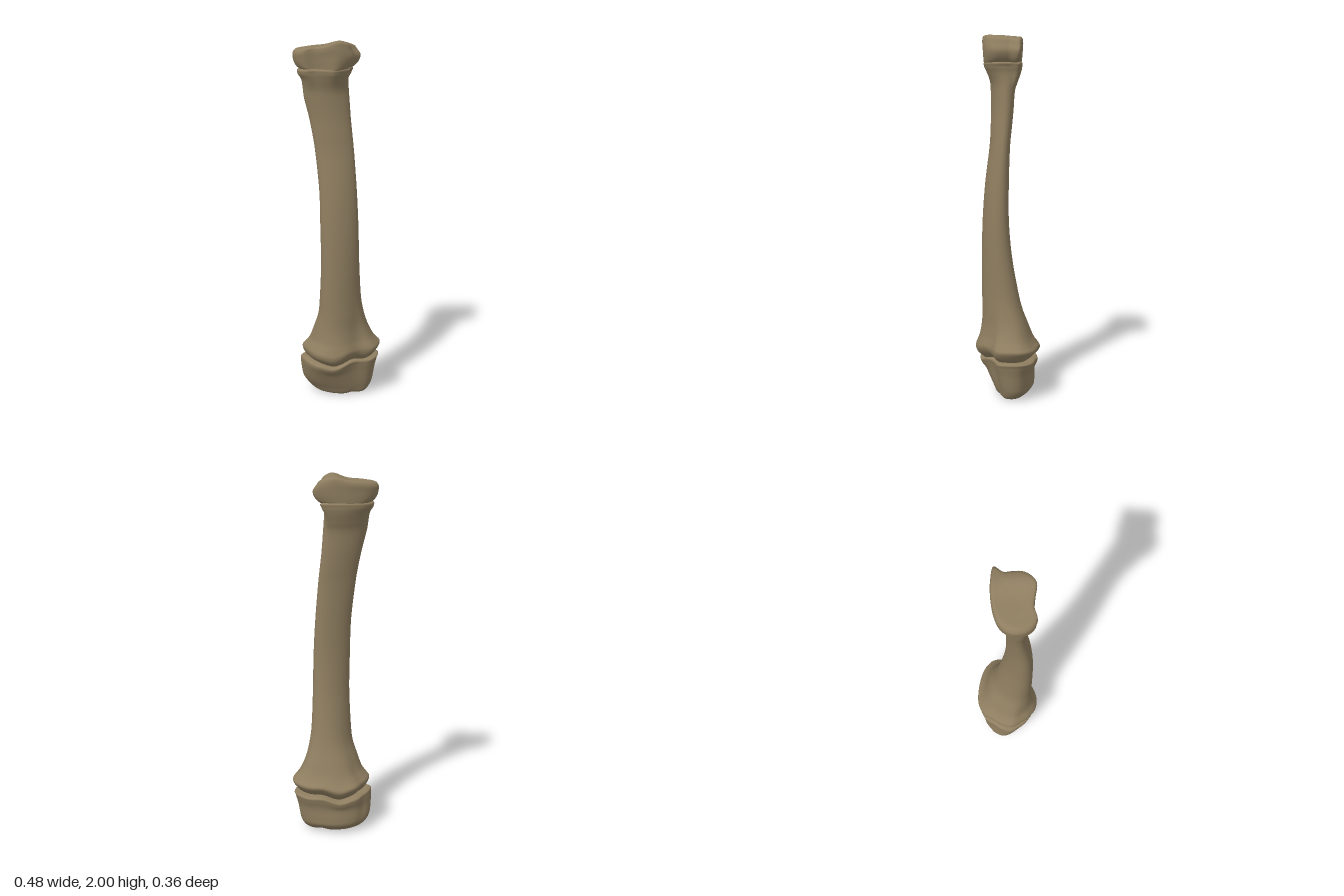
import * as THREE from 'three';

const SEG = 72;      // points around each section
const STEPS = 5;     // smoothing steps between section rows

// Outlines as [x, z], running from +x round through +z
const headOutline = [
  [.085, .03], [.08, .08], [.045, .12], [0, .14], [-.06, .128], [-.12, .119], [-.18, .128], [-.22, .10],
  [-.24, .04], [-.225, -.02], [-.18, -.06], [-.11, -.078], [-.04, -.083], [.05, -.075], [.118, -.055], [.085, -.01],
];
const baseOutline = [
  [.235, -.01], [.2, .07], [.12, .1], [.04, .16], [-.03, .18], [-.1, .165], [-.15, .12], [-.18, .07],
  [-.205, .01], [-.18, -.06], [-.15, -.1], [-.11, -.155], [-.03, -.185], [.08, -.17], [.18, -.13], [.23, -.075],
];

// Fit a ring of points to the square -1..1
function normalise(ring) {
  const box = new THREE.Box2().setFromPoints(ring);
  const c = box.getCenter(new THREE.Vector2());
  const s = box.getSize(new THREE.Vector2()).multiplyScalar(0.5);
  return ring.map((p) => p.clone().sub(c).divide(s));
}

function ringFrom(points) {
  const curve = new THREE.CatmullRomCurve3(points.map(([x, z]) => new THREE.Vector3(x, 0, z)), true);
  return normalise(Array.from({ length: SEG }, (_, i) => {
    const p = curve.getPoint(i / SEG);
    return new THREE.Vector2(p.x, p.z);
  }));
}

// Ellipse leaning towards one diagonal
const ellipseRing = (skew) => normalise(Array.from({ length: SEG }, (_, i) => {
  const a = (i / SEG) * Math.PI * 2;
  return new THREE.Vector2(Math.cos(a), Math.sin(a + skew));
}));

const headRing = ringFrom(headOutline);
const baseRing = ringFrom(baseOutline);
const shaftRing = ellipseRing(-0.3);
const footRing = ellipseRing(0.25);

// Rows, bottom to top: [y, xMin, xMax, zMin, zMax, blend]
// blend: -1 head outline, 0 the given ellipse, 1 base outline
function loft(rows, ellipse, warp) {
  const spline = new THREE.CubicInterpolant(rows.map((_, i) => i), rows.flat(), 6, new Float32Array(6));
  const count = (rows.length - 1) * STEPS;
  const positions = [];
  const index = [];
  for (let r = 0; r <= count; r++) {
    const [y, x0, x1, z0, z1, blend] = spline.evaluate(r / STEPS);
    const target = blend < 0 ? headRing : baseRing;
    const w = Math.min(1, Math.abs(blend));
    for (let i = 0; i < SEG; i++) {
      const p = ellipse[i].clone().lerp(target[i], w);
      const x = (x0 + x1) / 2 + (p.x * (x1 - x0)) / 2;
      const z = (z0 + z1) / 2 + (p.y * (z1 - z0)) / 2;
      positions.push(x, y + warp(x, y, z), z);
      if (r < count) {
        const a = r * SEG + i, b = r * SEG + ((i + 1) % SEG);
        index.push(a, a + SEG, b, b, a + SEG, b + SEG);
      }
    }
  }
  const g = new THREE.BufferGeometry();
  g.setAttribute('position', new THREE.Float32BufferAttribute(positions, 3));
  g.setIndex(index);
  g.computeVertexNormals();
  return g;
}

const bump = (x, centre, width) => Math.exp(-(((x - centre) / width) ** 2));
const fade = THREE.MathUtils.smoothstep;
// Wavy growth-plate surface shared by the shaft and the lower cap
const wave = (x) => 0.4 * x * x + 0.012 * bump(x, .08, .05) - 0.012 * bump(x, -.02, .05);

export function createModel() {
  const group = new THREE.Group();
  group.name = 'bone';
  const boneMaterial = new THREE.MeshStandardMaterial({ color: 0x8f7e60 });
  boneMaterial.name = 'bone brown';

  const add = (name, rows, ellipse, warp) => {
    const mesh = new THREE.Mesh(loft(rows, ellipse, warp), boneMaterial);
    mesh.name = name;
    group.add(mesh);
  };

  // Long shaft flaring at both ends
  add('shaft', [
    [.213, .01, .01, 0, 0, 1],
    [.21, -.12, .13, -.1, .1, 1],
    [.222, -.17, .19, -.13, .135, 1],
    [.25, -.195, .222, -.165, .17, 1],
    [.28, -.202, .237, -.181, .181, 1],
    [.31, -.185, .222, -.16, .172, .95],
    [.35, -.16, .197, -.137, .158, .8],
    [.42, -.135, .165, -.11, .147, .5],
    [.5, -.11, .142, -.08, .145, .25],
    [.6, -.1, .127, -.055, .145, .1],
    [.8, -.092, .117, -.02, .145, 0],
    [1, -.095, .112, -.003, .14, 0],
    [1.2, -.1, .102, -.003, .125, 0],
    [1.4, -.12, .087, -.01, .1, 0],
    [1.5, -.135, .077, -.02, .094, 0],
    [1.6, -.155, .067, -.03, .09, 0],
    [1.7, -.18, .062, -.038, .093, -.1],
    [1.75, -.187, .063, -.054, .1, -.3],
    [1.8, -.195, .068, -.072, .12, -.6],
    [1.835, -.215, .08, -.079, .133, -.8],
    [1.86, -.2, .075, -.07, .125, -.8],
    [1.88, -.06, -.06, .03, .03, -.8],
  ], shaftRing, (x, y) => wave(x) * (1 - fade(y, .25, .38)));

  // Upper cap with its raised rim and side knob
  add('upperCap', [
    [1.865, -.06, -.06, .03, .03, -1],
    [1.855, -.16, .04, -.04, .09, -1],
    [1.86, -.205, .075, -.068, .124, -1],
    [1.885, -.23, .105, -.077, .132, -1],
    [1.92, -.24, .118, -.081, .136, -1],
    [1.95, -.237, .1, -.083, .138, -1],
    [1.97, -.215, .08, -.075, .13, -1],
    [1.972, -.16, .03, -.05, .09, -1],
    [1.968, -.06, -.06, .03, .03, -1],
  ], shaftRing, (x, y, z) => {
    const rim = 0.029 * bump(x, .005, .06) * (0.7 + 0.3 * fade(z, -.08, .06)) - 0.007 * bump(x, -.2, .06);
    const bottom = (1 - fade(y, 1.865, 1.91)) * 0.022 * bump(x, -.06, .09);
    return fade(y, 1.9, 1.965) * rim - bottom;
  });

  // Lower cap beneath the growth plate
  add('lowerCap', [
    [.008, .02, .02, -.02, -.02, .3],
    [.004, -.06, .1, -.065, .02, .3],
    [.014, -.13, .155, -.105, .06, .35],
    [.05, -.175, .185, -.146, .08, .45],
    [.09, -.2, .197, -.153, .1, .6],
    [.15, -.21, .208, -.153, .128, .85],
    [.19, -.213, .222, -.166, .152, 1],
    [.212, -.203, .223, -.163, .15, 1],
    [.222, -.14, .15, -.1, .1, 1],
    [.22, .01, .01, 0, 0, 1],
  ], footRing, (x, y) => wave(x) * fade(y, .13, .2) + 0.008 * bump(x, .08, .03) * (1 - fade(y, .01, .06)));

  return group;
}
